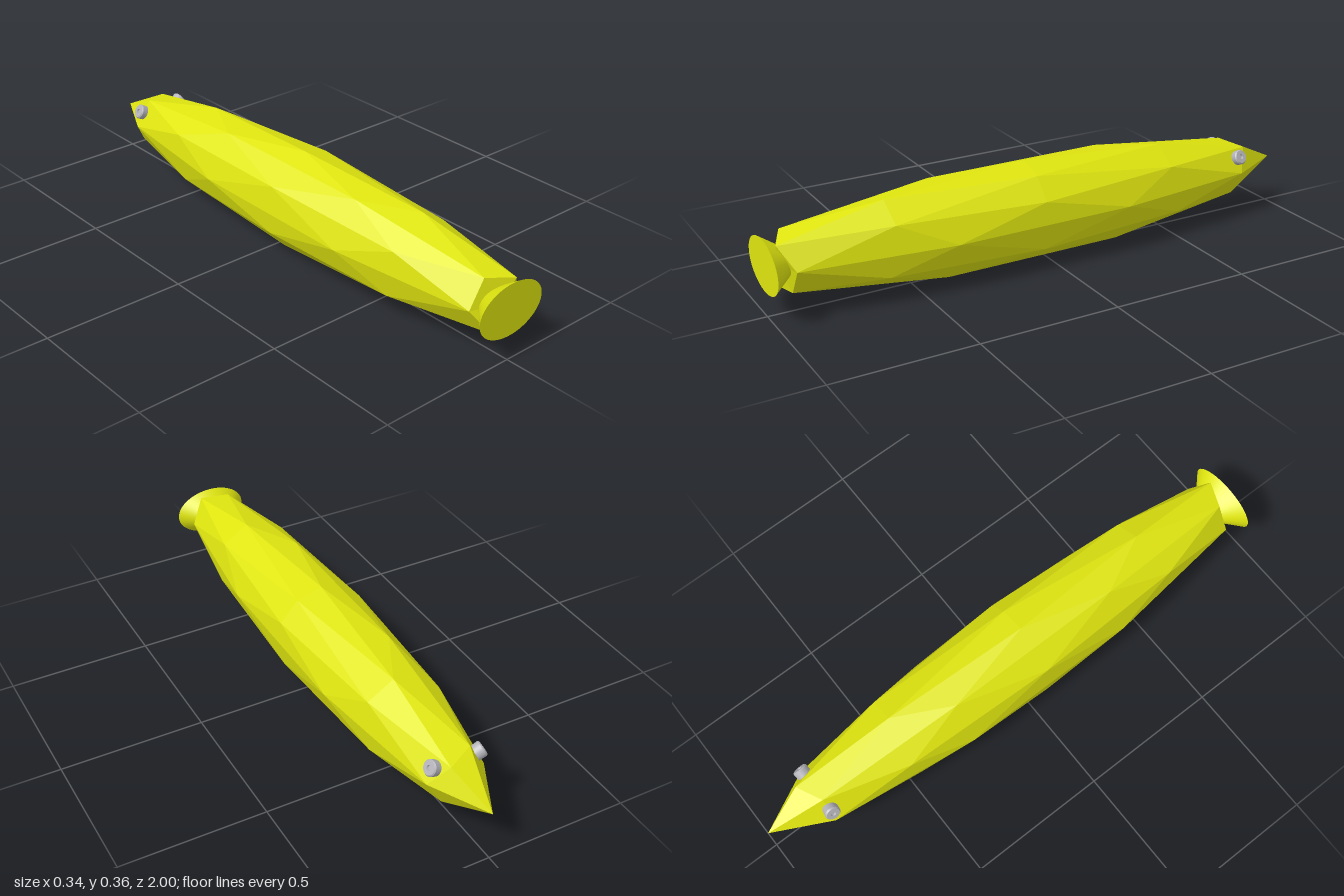
import * as THREE from 'three';

export function createModel() {
  const model = new THREE.Group();
  const yellow = new THREE.MeshStandardMaterial({ color: 0xdfe50f });
  const grey = new THREE.MeshStandardMaterial({ color: 0xb4b4ba });
  yellow.name = 'yellow';
  grey.name = 'grey';
  const midY = 0.18, midZ = 0.065;

  // Body: a faceted sphere with its pole upright, stretched along z, with the front point pushed in
  const bodyGeo = new THREE.IcosahedronGeometry(1, 1);
  bodyGeo.rotateZ(-Math.atan(2 / (1 + Math.sqrt(5))));
  bodyGeo.scale(0.1765, 0.178, 1.065);
  bodyGeo.translate(0, midY, midZ);
  const pos = bodyGeo.attributes.position;
  for (let i = 0; i < pos.count; i++) {
    if (pos.getZ(i) > 1.05) pos.setZ(i, 0.96);
  }
  const flat = bodyGeo.toNonIndexed ? (bodyGeo.index ? bodyGeo.toNonIndexed() : bodyGeo) : bodyGeo;
  flat.computeVertexNormals();
  const bodyMaterial = yellow;
  const body = new THREE.Mesh(flat, bodyMaterial);
  body.name = 'body';
  model.add(body);

  // Flared oval end: a cone whose flat base closes the front
  const flareGeo = new THREE.ConeGeometry(1, 1, 48);
  flareGeo.rotateX(-Math.PI / 2);
  flareGeo.scale(0.137, 0.092, 0.135);
  flareGeo.translate(0, midY, 1 - 0.0675);
  const flare = new THREE.Mesh(flareGeo, yellow);
  flare.name = 'endFlare';
  model.add(flare);

  // Eyes: short round studs with a small dimple, facing outwards and up
  const profile = [[0, -0.016], [0.026, -0.016], [0.026, -0.016], [0.027, 0.012], [0.027, 0.012],
    [0.023, 0.017], [0.023, 0.017], [0.009, 0.017], [0.009, 0.017], [0.007, 0.011], [0.007, 0.011], [0, 0.011]]
    .map(([r, y]) => new THREE.Vector2(r, y));
  for (const side of [1, -1]) {
    const eye = new THREE.Mesh(new THREE.LatheGeometry(profile, 24), grey);
    eye.name = side > 0 ? 'leftEye' : 'rightEye';
    eye.position.set(side * 0.083, 0.236, -0.793);
    eye.quaternion.setFromUnitVectors(new THREE.Vector3(0, 1, 0),
      new THREE.Vector3(side * 0.88, 0.45, -0.1).normalize());
    model.add(eye);
  }
  return model;
}
